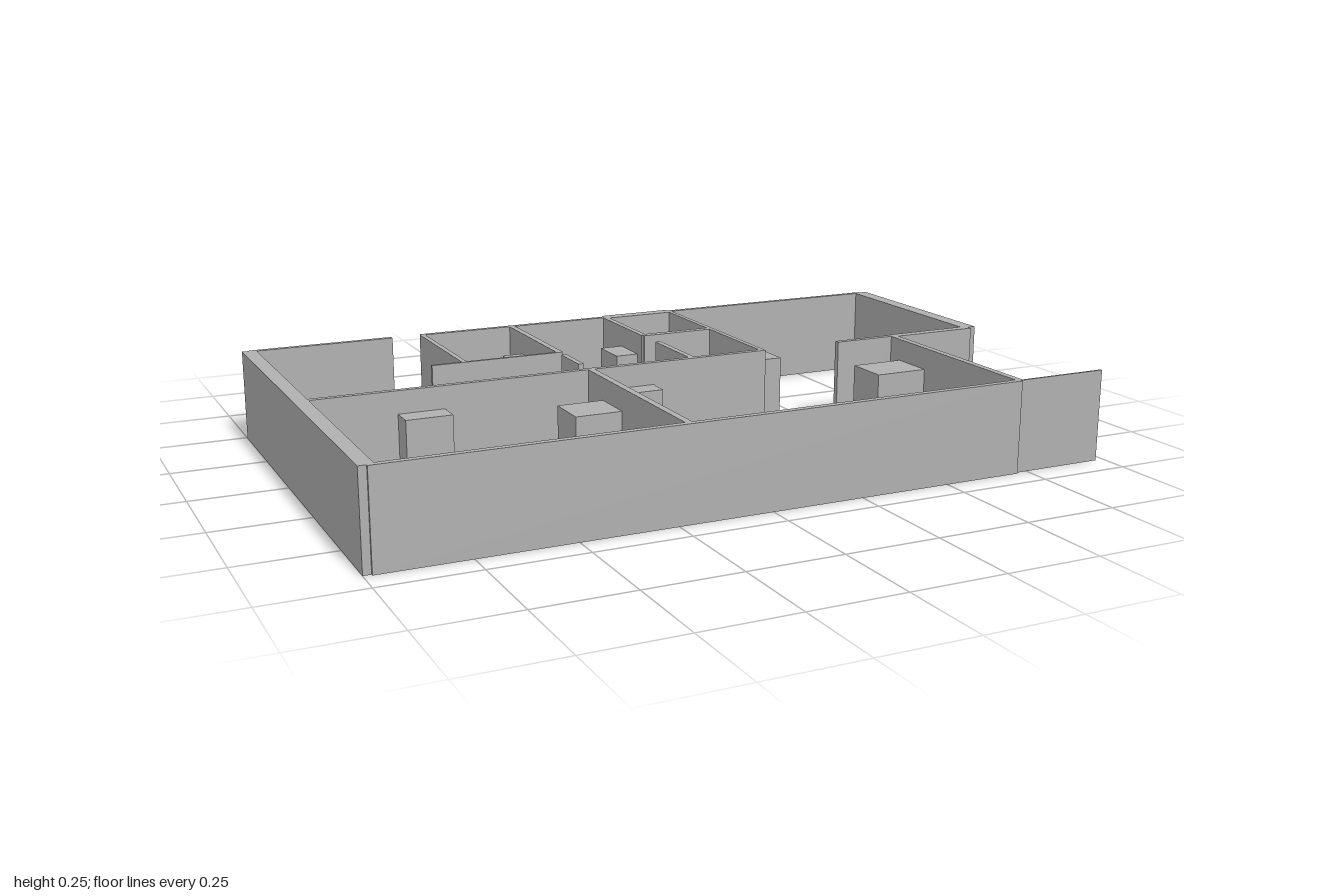
import * as THREE from 'three';

const WALL_HEIGHT = 0.245;
const DOOR_HEIGHT = 0.185;

export function createModel() {
  const model = new THREE.Group();
  const grey = new THREE.MeshStandardMaterial({ color: 0xb0b0b0 });
  grey.name = 'plain grey';

  // Upright block standing on the ground, given by its plan rectangle
  const block = (name, height, [x0, x1, z0, z1]) => {
    const mesh = new THREE.Mesh(new THREE.BoxGeometry(x1 - x0, height, z1 - z0), grey);
    mesh.position.set((x0 + x1) / 2, height / 2, (z0 + z1) / 2);
    mesh.name = name;
    model.add(mesh);
  };

  // Outer walls: [x0, x1, z0, z1]
  const outerWalls = {
    rightOuterWall: [-1, -0.962, -0.494, 0.674],
    leftOuterWall: [0.958, 1, -0.494, 0.092],
    backWallRight: [-0.98, -0.58, -0.5, -0.485],
    backWallLeft: [-0.495, 0.978, -0.5, -0.485],
    backWallThickened: [0.078, 0.29, -0.51, -0.474],
    frontWall: [-0.98, 0.716, 0.663, 0.68],
    frontScreenWall: [0.716, 0.976, 0.667, 0.673],
    porchWallThick: [0.716, 0.976, 0.08, 0.106],
    porchWallThin: [0.53, 0.716, 0.084, 0.1],
    porchSideWall: [0.706, 0.725, 0.092, 0.67],
  };

  // Room partitions
  const partitions = {
    hallWall: [-0.97, 0.293, 0.084, 0.1],
    frontRoomDivider: [-0.229, -0.211, 0.092, 0.67],
    livingDivider: [0.284, 0.298, -0.492, 0.1],
    bathSideWall: [0.07, 0.086, -0.492, -0.216],
    closetSideWall: [0.07, 0.086, -0.122, 0.092],
    bathFrontWall: [0.076, 0.29, -0.227, -0.206],
    middleDivider: [-0.228, -0.211, -0.492, -0.122],
    hallStubWall: [-0.228, -0.213, -0.088, 0.032],
    ensuiteSideWall: [-0.498, -0.484, -0.492, -0.122],
    ensuiteFrontWall: [-0.582, -0.213, -0.126, -0.117],
  };

  // Door volumes
  const doors = {
    backDoor: [-0.203, -0.07, -0.685, -0.512],
    ensuiteDoor: [-0.287, -0.15, -0.385, -0.267],
    bathDoor: [0.005, 0.142, -0.355, -0.242],
    livingDoor: [0.29, 0.418, -0.148, -0.025],
    hallDoor: [-0.167, -0.042, 0.02, 0.16],
    bedroomDoor: [-0.742, -0.62, 0.026, 0.164],
    frontRoomDoor: [-0.354, -0.226, 0.192, 0.312],
    doubleFrontDoor: [0.557, 0.84, 0.144, 0.267],
  };

  for (const [name, plan] of Object.entries(outerWalls)) block(name, WALL_HEIGHT, plan);
  for (const [name, plan] of Object.entries(partitions)) block(name, WALL_HEIGHT, plan);
  for (const [name, plan] of Object.entries(doors)) block(name, DOOR_HEIGHT, plan);

  // Low fixtures
  block('backFixture', 0.058, [-0.782, -0.68, -0.54, -0.443]);
  block('ensuiteTub', 0.058, [-0.54, -0.447, -0.352, -0.247]);
  block('ensuiteSink', 0.06, [-0.475, -0.416, -0.36, -0.274]);
  block('ensuiteToilet', 0.04, [-0.336, -0.278, -0.51, -0.416]);
  block('bathToilet', 0.04, [0.106, 0.165, -0.475, -0.382]);
  block('bathSink', 0.06, [0.218, 0.286, -0.34, -0.255]);

  return model;
}
